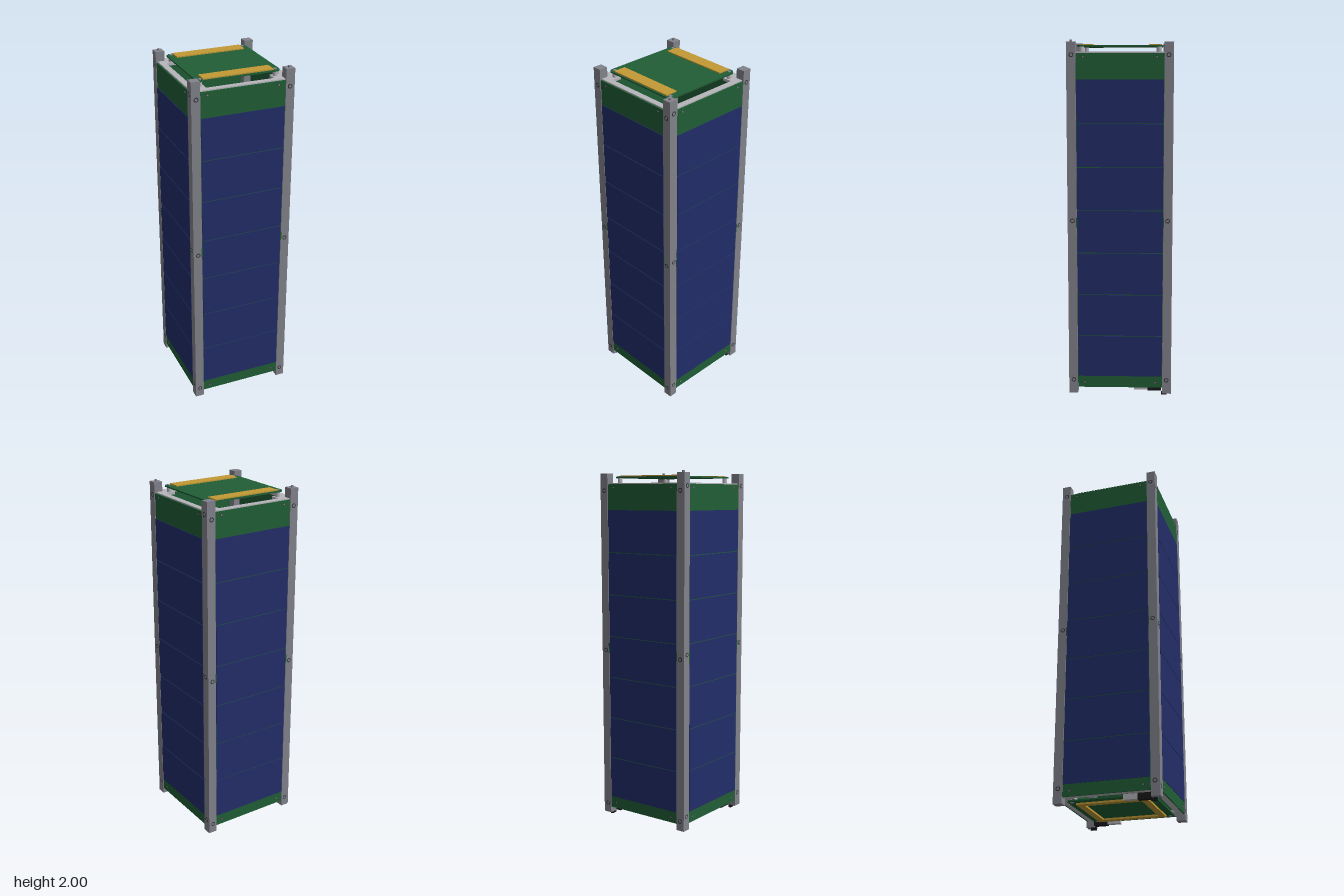
import * as THREE from 'three';

const mat = (name, color) => {
  const m = new THREE.MeshStandardMaterial({ color });
  m.name = name;
  return m;
};

export function createModel() {
  const model = new THREE.Group();
  model.name = 'cubeSatellite';
  const rail = mat('railGrey', 0x82838b);
  const frame = mat('frameLightGrey', 0xb6b6bb);
  const green = mat('boardGreen', 0x205e35);
  const blue = mat('cellBlue', 0x222d68);
  const gold = mat('gold', 0xc29935);
  const dark = mat('screwDark', 0x34353a);
  const black = mat('connectorBlack', 0x18181a);

  const add = (parent, name, geo, material, x, y, z) => {
    const m = new THREE.Mesh(geo, material);
    m.name = name;
    m.position.set(x, y, z);
    parent.add(m);
    return m;
  };
  const box = (parent, name, material, w, h, d, x, y, z) =>
    add(parent, name, new THREE.BoxGeometry(w, h, d), material, x, y, z);
  const cyl = (parent, name, material, r, h, x, y, z) =>
    add(parent, name, new THREE.CylinderGeometry(r, r, h, 20), material, x, y, z);
  const polygon = (pts, Type = THREE.Shape) => new Type(pts.map(([x, y]) => new THREE.Vector2(x, y)));
  // horizontal plate with its underside at y
  const plate = (name, shape, material, y, h) => {
    const geo = new THREE.ExtrudeGeometry(shape, { depth: h, bevelEnabled: false, curveSegments: 8 });
    geo.rotateX(-Math.PI / 2);
    return add(model, name, geo, material, 0, y, 0);
  };
  const square = (s, Type) => polygon([[-s, -s], [s, -s], [s, s], [-s, s]], Type);

  // corner rails
  for (const x of [-1, 1]) for (const z of [-1, 1]) {
    box(model, 'cornerRail', rail, 0.05, 1.975, 0.05, x * 0.265, 1.0025, z * 0.265);
    // pins on one top diagonal, switch feet on the other bottom diagonal
    if (x === z) cyl(model, 'topPin', rail, 0.007, 0.012, x * 0.266, 1.994, z * 0.266);
    else box(model, 'switchFoot', black, 0.014, 0.016, 0.032, x * 0.255, 0.008, z * 0.25);
  }

  // four solar walls
  const cellBottom = 0.115, cellPitch = 0.2393, cellGap = 0.004;
  for (let i = 0; i < 4; i++) {
    const side = new THREE.Group();
    side.name = 'solarWall';
    side.rotation.y = i * Math.PI / 2;
    model.add(side);
    box(side, 'panelBoard', green, 0.478, 1.88, 0.008, 0, 0.99, 0.283);
    for (let k = 0; k < 7; k++) {
      box(side, 'solarCell', blue, 0.474, cellPitch - cellGap, 0.003,
        0, cellBottom + (k + 0.5) * cellPitch, 0.2885);
    }
    const disc = (name, material, r, x, y, z) => {
      const m = cyl(side, name, material, r, 0.004, x, y, z);
      m.rotation.x = Math.PI / 2;
    };
    const shift = i % 2 ? 0.025 : 0;
    for (const s of [-1, 1]) {
      // rail screws at three heights
      for (const y of [0.07, 0.99, 1.895]) {
        disc('railScrewRim', dark, 0.013, s * 0.263, y + shift, 0.2885);
        disc('railScrewHead', rail, 0.008, s * 0.263, y + shift, 0.2892);
      }
      // panel screws and middle clips
      for (const y of [0.08, 1.91]) {
        disc('panelScrewRim', dark, 0.008, s * 0.2, y, 0.2858);
        disc('panelScrewHead', rail, 0.005, s * 0.2, y, 0.2865);
      }
      box(side, 'panelTab', green, 0.007, 0.055, 0.004, s * 0.24, 1.005, 0.2885);
    }
  }

  // end frames: ring with inward corner tabs and small relief holes
  const ring = square(0.28);
  const a = 0.19, b = 0.246;
  ring.holes.push(polygon([[-a, -b], [a, -b], [a, -a], [b, -a], [b, a], [a, a],
    [a, b], [-a, b], [-a, a], [-b, a], [-b, -a], [-a, -a]], THREE.Path));
  plate('topFrame', ring, frame, 1.922, 0.014);
  plate('bottomFrame', ring, frame, 0.05, 0.014);

  // end boards with clipped corners
  const e = 0.235, c = 0.219;
  const board = polygon([[-c, -e], [c, -e], [e, -c], [e, c], [c, e], [-c, e], [-e, c], [-e, -c]]);
  plate('topBoard', board, green, 1.964, 0.008);
  plate('bottomBoard', board, green, 0.038, 0.008);
  for (const x of [-1, 1]) for (const z of [-1, 1]) {
    cyl(model, 'topStandoff', frame, 0.013, 0.03, x * 0.212, 1.95, z * 0.212);
    cyl(model, 'topBoardScrew', rail, 0.01, 0.004, x * 0.212, 1.973, z * 0.212);
    cyl(model, 'bottomStandoff', frame, 0.013, 0.008, x * 0.212, 0.048, z * 0.212);
    cyl(model, 'bottomBoardScrew', rail, 0.01, 0.004, x * 0.212, 0.037, z * 0.212);
  }

  // gold antenna strips on top, gold square loop underneath
  for (const z of [-1, 1]) box(model, 'goldStrip', gold, 0.396, 0.006, 0.071, 0, 1.975, z * 0.191);
  const loop = square(0.195);
  loop.holes.push(square(0.157, THREE.Path));
  plate('goldLoop', loop, gold, 0.028, 0.01);

  // edge connectors under the bottom frame, repeated by half a turn
  for (const s of [-1, 1]) {
    box(model, 'connectorBody', frame, 0.028, 0.03, 0.11, s * 0.23, 0.035, -s * 0.135);
    box(model, 'connectorPlug', black, 0.032, 0.034, 0.078, s * 0.23, 0.033, -s * 0.195);
  }
  return model;
}
